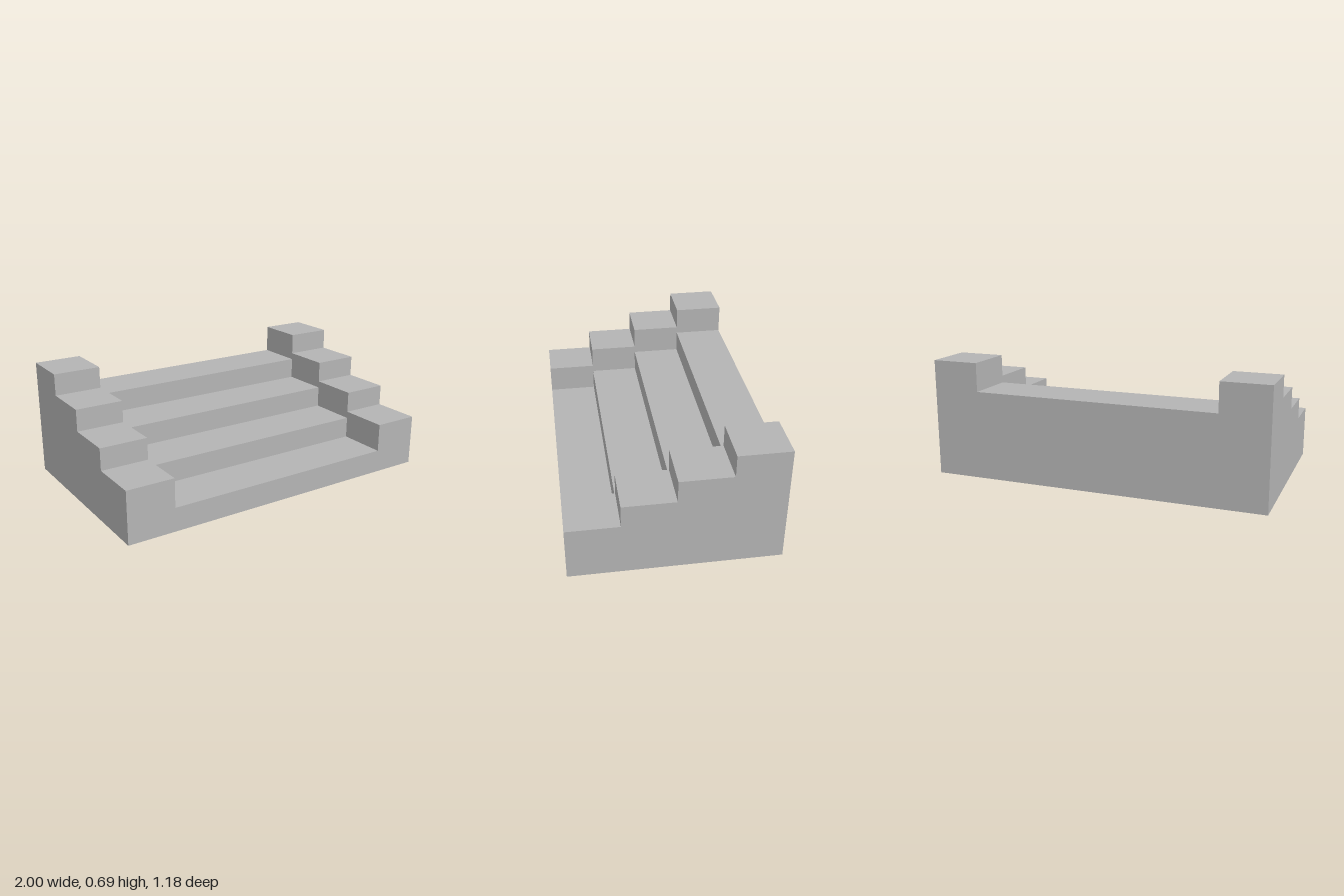
import * as THREE from 'three';

const stone = new THREE.MeshStandardMaterial({ color: 0xb4b4b4, side: THREE.DoubleSide });
stone.name = 'grey stone';

const STEPS = 4, DEPTH = 0.295, RISE = 0.128;
const FRONT = 0.59, OUTER = 1, INNER = 0.72, NOSING = 0.035;
const TREAD = 0.139, CURB = 0.309; // heights of the lowest tread and curb

export function createModel() {
  const model = new THREE.Group();
  const add = (name, geometry) => {
    const mesh = new THREE.Mesh(geometry, stone);
    mesh.name = name;
    model.add(mesh);
  };
  // Upright sheet facing the front
  const wall = (name, x0, x1, y0, y1, z) =>
    add(name, new THREE.PlaneGeometry(x1 - x0, y1 - y0)
      .translate((x0 + x1) / 2, (y0 + y1) / 2, z));
  // Level sheet facing up
  const slab = (name, x0, x1, z0, z1, y) =>
    add(name, new THREE.PlaneGeometry(x1 - x0, z1 - z0).rotateX(-Math.PI / 2)
      .translate((x0 + x1) / 2, y, (z0 + z1) / 2));

  // Stepped outline shared by the outer and inner faces of both curbs
  const outline = new THREE.Shape();
  outline.moveTo(FRONT, 0);
  for (let i = 0; i < STEPS; i++) {
    outline.lineTo(FRONT - i * DEPTH, CURB + i * RISE);
    outline.lineTo(FRONT - (i + 1) * DEPTH, CURB + i * RISE);
  }
  outline.lineTo(-FRONT, 0);
  for (const x of [-OUTER, -INNER, INNER, OUTER]) {
    const side = new THREE.ShapeGeometry(outline);
    side.rotateY(-Math.PI / 2).translate(x, 0, 0);
    add(Math.abs(x) === OUTER ? 'curbOuterSide' : 'curbInnerSide', side);
  }

  for (let i = 0; i < STEPS; i++) {
    const z1 = FRONT - i * DEPTH, z0 = z1 - DEPTH;
    const tread = TREAD + i * RISE, curb = CURB + i * RISE;

    // Central flight: riser down to the ground, front strip and tread
    wall('riser', -INNER, INNER, 0, tread, z1);
    slab('nosing', -INNER, INNER, z1 - NOSING, z1, tread);
    slab('tread', -INNER, INNER, z0, z1 - NOSING, tread);
    // Hollow under each step is closed at the same height
    if (i > 0) slab('stepUnderside', -INNER, INNER, z0, z1, TREAD);

    // Curb blocks on both sides
    for (const [a, b] of [[-OUTER, -INNER], [INNER, OUTER]]) {
      wall('curbFront', a, b, 0, curb, z1);
      slab('curbTop', a, b, z0, z1, curb);
    }
  }

  // Back wall
  wall('backWall', -INNER, INNER, 0, TREAD + 3 * RISE, -FRONT);
  for (const [a, b] of [[-OUTER, -INNER], [INNER, OUTER]])
    wall('curbBack', a, b, 0, CURB + 3 * RISE, -FRONT);

  return model;
}
